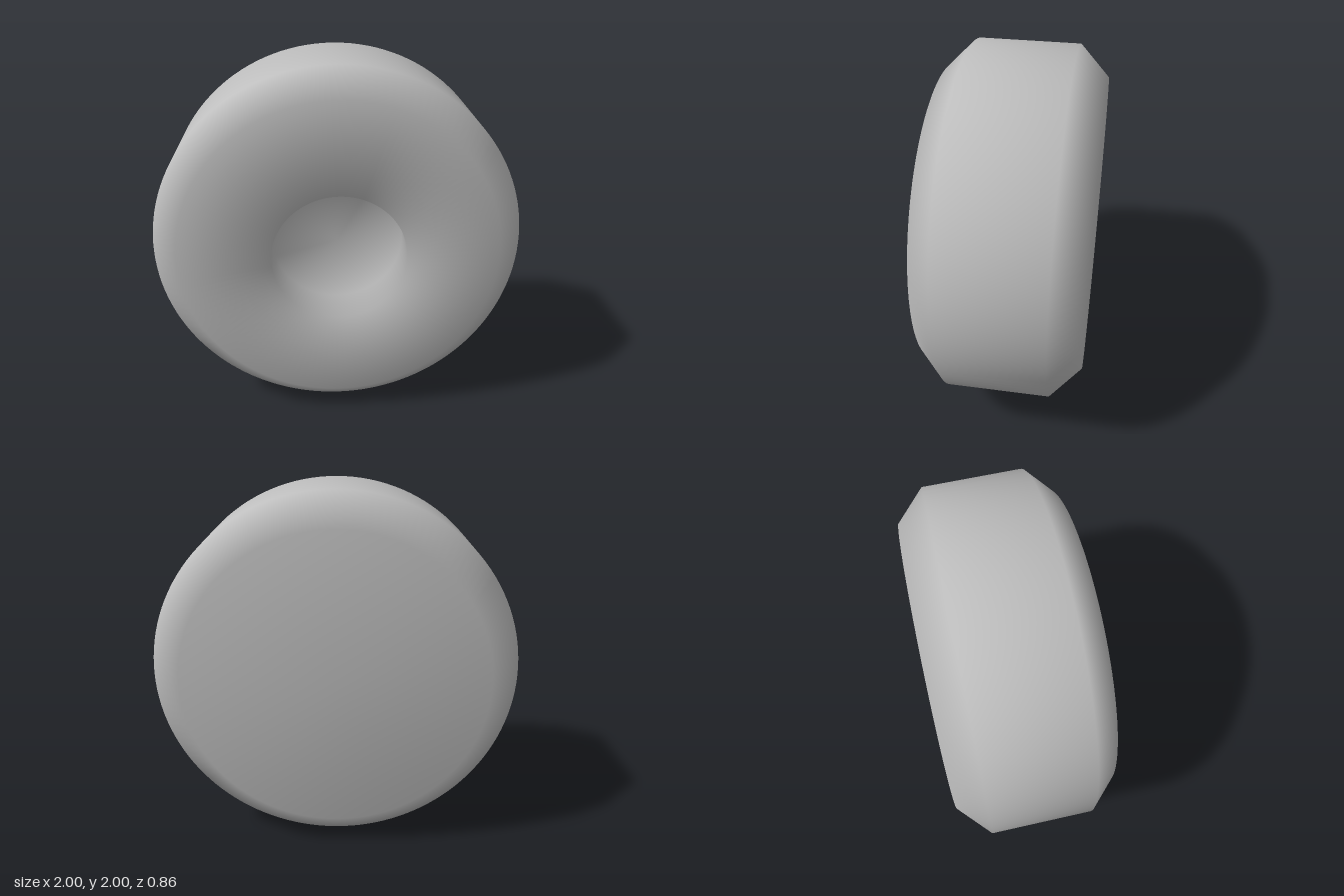
import * as THREE from 'three';

export function createModel() {
  const model = new THREE.Group();
  const grey = new THREE.MeshStandardMaterial({ color: 0xbebebe });
  grey.name = 'plain grey';

  // Half section as [radius, depth], from the back centre round to the recess floor
  const profile = [
    [0, -0.43], [0.83, -0.43],   // back disc
    [1, -0.265], [1, 0.29],      // rear bevel and tread
    [0.86, 0.43], [0.362, 0.43], // front bevel and front face
    [0.362, 0.2], [0, 0.2],      // recess wall and floor
  ].map(([r, z]) => new THREE.Vector2(r, z));

  // One smooth-shaded turned body, its axis laid along z
  const geometry = new THREE.LatheGeometry(profile, 128);
  geometry.rotateX(Math.PI / 2);
  const wheel = new THREE.Mesh(geometry, grey);
  wheel.name = 'wheel';
  wheel.position.y = 1;
  model.add(wheel);

  return model;
}
